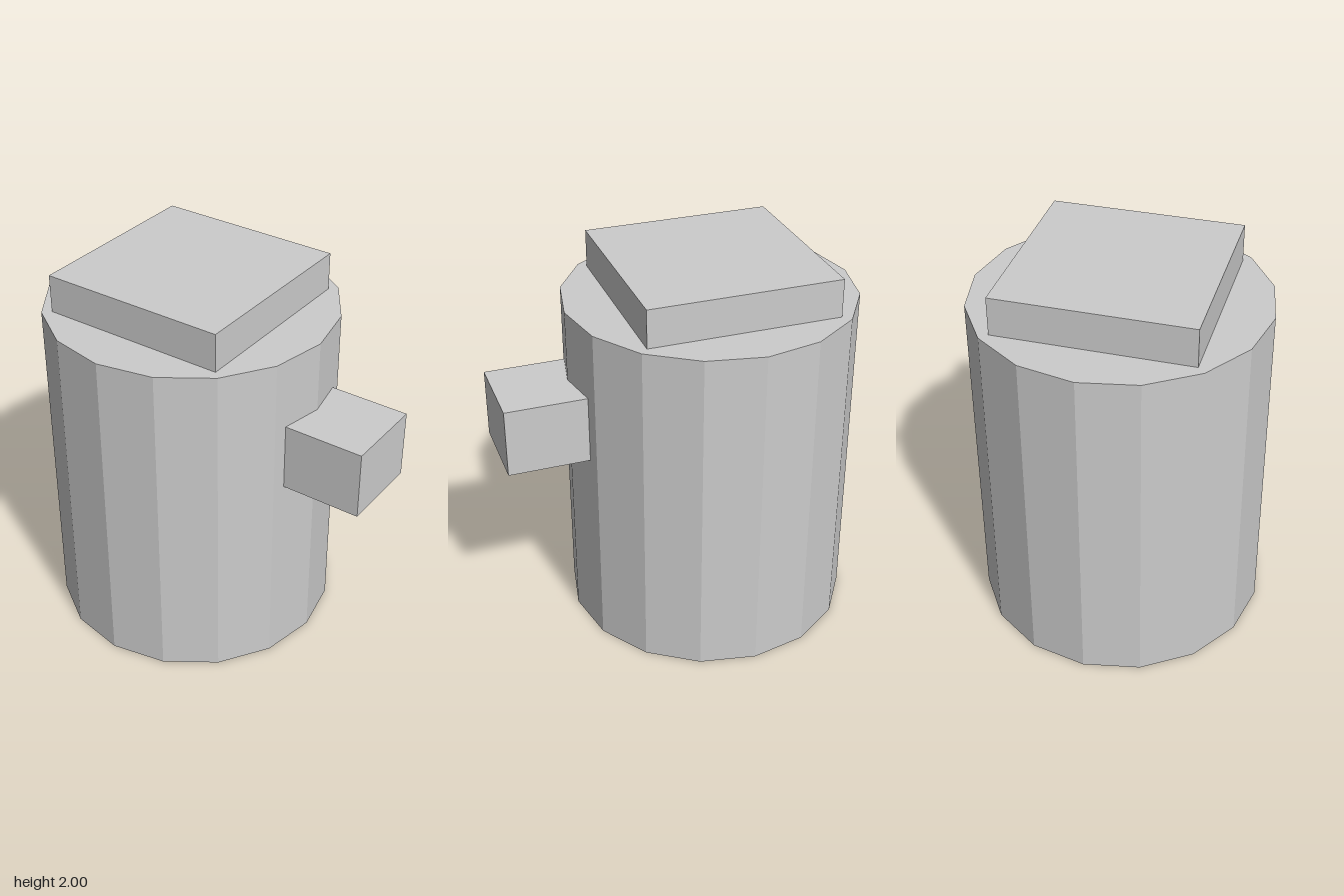
import * as THREE from 'three';

export function createModel() {
  const model = new THREE.Group();
  const grey = new THREE.MeshStandardMaterial({ color: 0xcccccc, flatShading: true });
  grey.name = 'light grey';

  const add = (name, geometry, x, y, z) => {
    const mesh = new THREE.Mesh(geometry, grey);
    mesh.name = name;
    mesh.position.set(x, y, z);
    model.add(mesh);
  };

  const axisZ = -0.19;

  // Sixteen-sided body with a corner facing the front
  add('body', new THREE.CylinderGeometry(0.76, 0.76, 1.8, 16), 0, 0.9, axisZ);

  // Square slab on top
  add('lid', new THREE.BoxGeometry(1, 0.2, 1), 0, 1.9, axisZ);

  // Block on the front, its back end sunk into the body
  add('frontBlock', new THREE.BoxGeometry(0.44, 0.36, 0.45), 0, 1.245, 0.725);

  return model;
}
